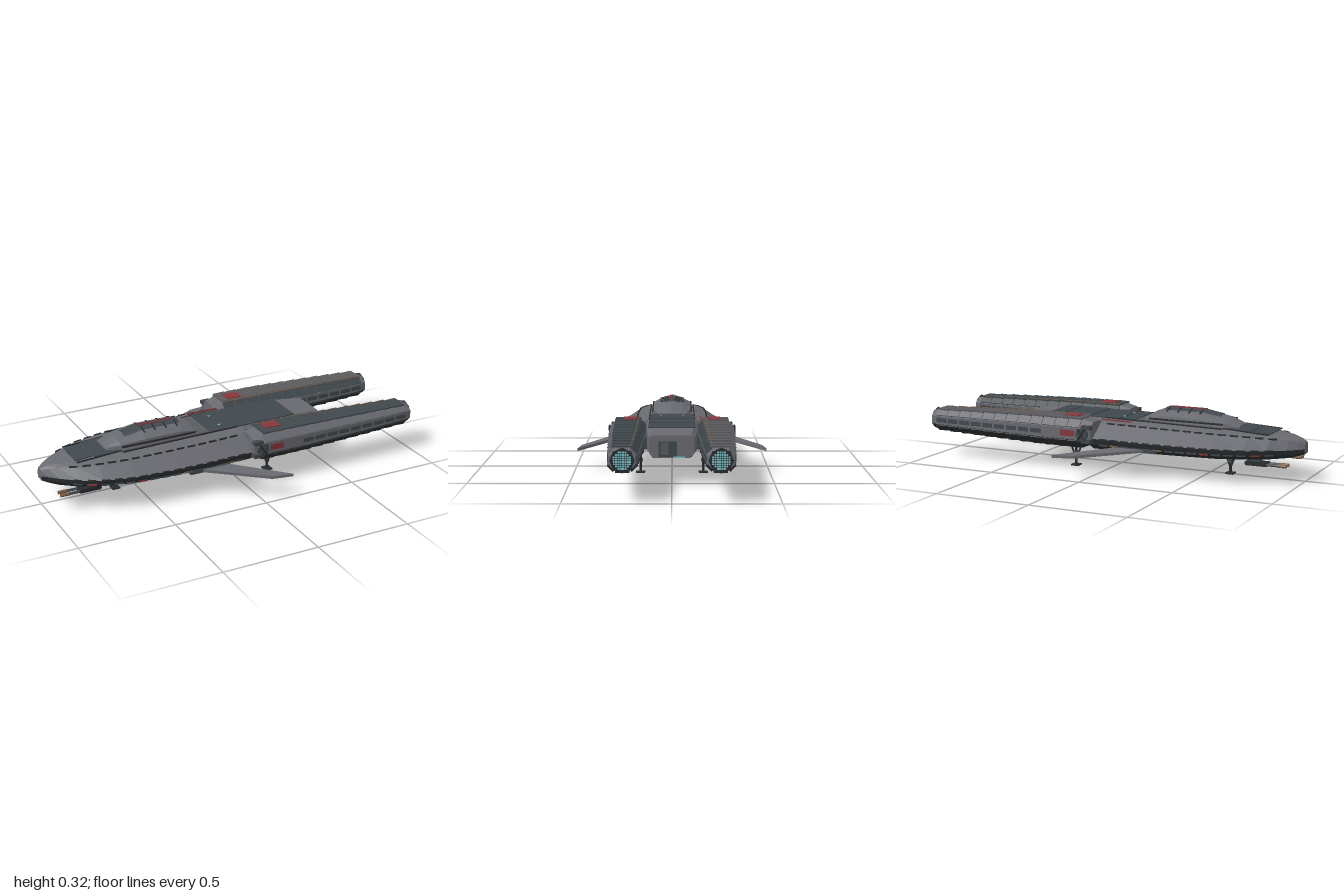
import * as THREE from 'three';

const mat = (name, color, side = THREE.FrontSide) => {
  const m = new THREE.MeshStandardMaterial({ color, flatShading: true, side });
  m.name = name;
  return m;
};

export function createModel() {
  const root = new THREE.Group();
  root.name = 'spaceship';
  const grey = mat('hull grey', 0x696a70), mid = mat('plate grey', 0x5a5a5e);
  const dark = mat('dark slate', 0x40484d), black = mat('charcoal', 0x292c2f);
  const red = mat('red', 0x85363a), cyan = mat('engine cyan', 0x7cc4cc), bronze = mat('bronze', 0x7a6048);

  const add = (parent, name, geo, material, x = 0, y = 0, z = 0) => {
    const m = new THREE.Mesh(geo, material);
    m.name = name;
    m.position.set(x, y, z);
    parent.add(m);
    return m;
  };
  const box = (parent, name, material, sx, sy, sz, x, y, z) =>
    add(parent, name, new THREE.BoxGeometry(sx, sy, sz), material, x, y, z);
  const group = (parent, name) => {
    const g = new THREE.Group();
    g.name = name;
    parent.add(g);
    return g;
  };
  // round bar between two points
  const bar = (parent, name, material, a, b, r) => {
    const p = new THREE.Vector3(...a), q = new THREE.Vector3(...b), d = q.clone().sub(p);
    const m = add(parent, name, new THREE.CylinderGeometry(r, r, d.length(), 8), material);
    m.position.copy(p.add(q).multiplyScalar(0.5));
    m.quaternion.setFromUnitVectors(new THREE.Vector3(0, 1, 0), d.normalize());
  };

  // closed loft through rings of points; one material group per side, caps last
  const loft = (rings, sideMat = () => 0) => {
    const n = rings[0].length, tris = [], groups = [];
    for (let j = 0; j < n; j++) {
      const start = tris.length * 3, k = (j + 1) % n;
      for (let i = 0; i < rings.length - 1; i++) {
        const [a, b] = [rings[i], rings[i + 1]];
        tris.push([a[j], b[j], b[k]], [a[j], b[k], a[k]]);
      }
      groups.push([start, tris.length * 3 - start, sideMat(j)]);
    }
    const start = tris.length * 3, a = rings[0], b = rings[rings.length - 1];
    for (let j = 1; j < n - 1; j++) tris.push([a[0], a[j], a[j + 1]], [b[0], b[j + 1], b[j]]);
    groups.push([start, tris.length * 3 - start, 0]);
    const v = (p) => new THREE.Vector3(...p);
    const c = v(a[0]).add(v(b[Math.floor(n / 2)])).multiplyScalar(0.5);
    let volume = 0;
    for (const [p, q, r] of tris) volume += v(p).sub(c).dot(v(q).sub(c).cross(v(r).sub(c)));
    if (volume < 0) tris.forEach((t) => t.reverse());
    const g = new THREE.BufferGeometry();
    g.setAttribute('position', new THREE.Float32BufferAttribute(tris.flat(2), 3));
    groups.forEach((s) => g.addGroup(...s));
    g.computeVertexNormals();
    return g;
  };
  const mirrorRing = (half) => [...half, ...half.slice().reverse().map(([z, y]) => [-z, y])];

  // hull stations: x, half width, bottom, top
  const stations = [[-1, 0.028, 0.14, 0.2], [-0.97, 0.06, 0.132, 0.213], [-0.93, 0.1, 0.126, 0.223], [-0.85, 0.17, 0.123, 0.232],
    [-0.75, 0.225, 0.121, 0.24], [-0.6, 0.266, 0.118, 0.246], [-0.4, 0.28, 0.116, 0.25], [-0.2, 0.281, 0.113, 0.253], [0.06, 0.27, 0.111, 0.255]];
  const hullAt = (x) => {
    let i = 0;
    while (i < stations.length - 2 && stations[i + 1][0] < x) i++;
    const a = stations[i], b = stations[i + 1], t = Math.min(1, (x - a[0]) / (b[0] - a[0]));
    return a.map((q, k) => q + (b[k] - q) * t);
  };
  const hullPoint = (x, fz, fy) => {
    const [, w, lo, hi] = hullAt(x);
    return [x, lo + (hi - lo) * fy, w * fz];
  };
  const hullRing = mirrorRing([[0.4, 1], [0.66, 0.88], [1, 0.42], [0.97, 0.2], [0.8, 0]]);
  add(root, 'hull', loft(stations.map((s) => hullRing.map(([z, y]) => hullPoint(s[0], z, y))),
    (j) => (j >= 2 && j <= 6 ? 1 : 0)), [grey, black]);

  // rear body between the engines
  const rearRing = mirrorRing([[0.85, 1], [1, 0.88], [1, 0.25], [0.8, 0]]);
  const rear = [[0, 0.135, 0.112, 0.256], [0.38, 0.125, 0.115, 0.254], [0.53, 0.11, 0.13, 0.242]];
  add(root, 'rearBody', loft(rear.map(([x, w, lo, hi]) => rearRing.map(([z, y]) => [x, lo + (hi - lo) * y, w * z])),
    (j) => (j >= 2 && j <= 4 ? 1 : 0)), [grey, black]);
  box(root, 'rearDoor', dark, 0.006, 0.075, 0.09, 0.532, 0.175, 0.02);
  box(root, 'rearDoorPanel', mid, 0.008, 0.06, 0.04, 0.533, 0.178, 0.035);
  box(root, 'rearLight', cyan, 0.008, 0.005, 0.055, 0.533, 0.136, -0.035);
  box(root, 'belly', black, 0.9, 0.01, 0.2, -0.1, 0.111, 0);

  // deck plating follows the hull top
  const deckPlate = (name, material, x0, x1, z, width, lift = 0.002) => {
    const y0 = hullAt(x0)[3], y1 = hullAt(x1)[3];
    const m = box(root, name, material, x1 - x0, 0.006, width, (x0 + x1) / 2, (y0 + y1) / 2 + lift, z);
    m.rotation.z = Math.atan2(y1 - y0, x1 - x0);
  };
  deckPlate('noseDeck', dark, -0.84, -0.75, 0, 0.16);
  deckPlate('noseDeck', dark, -0.745, -0.61, 0, 0.19);
  deckPlate('midDeck', mid, -0.6, -0.13, 0, 0.22);
  for (let i = 0; i < 6; i++) deckPlate('rearDeck', dark, -0.12 + i * 0.083, -0.043 + i * 0.083, 0, 0.235, 0.001 + (i % 2) * 0.002);
  for (const s of [1, -1]) {
    deckPlate('deckRail', black, -0.84, -0.6, s * 0.1, 0.006);
    deckPlate('deckRail', black, -0.6, 0.04, s * 0.118, 0.006);
    box(root, 'deckLight', cyan, 0.012, 0.004, 0.008, -0.04, 0.26, s * 0.06);
  }
  deckPlate('redDeckLine', red, -0.12, 0.05, -0.15, 0.007, -0.003);

  // vent dashes and edge trim along both hull sides
  for (const s of [1, -1]) {
    const rows = [['upperVent', black, 0.66, 0.88, 15, 0.042], ['edgeVent', black, 1, 0.42, 15, 0.04], ['lowerTrim', dark, 0.97, 0.21, 15, 0.046]];
    for (const [name, material, fz, fy, count, len] of rows) {
      for (let i = 0; i < count; i++) {
        const x = -0.86 + i * 0.06, a = new THREE.Vector3(...hullPoint(x - len / 2, fz, fy)), b = new THREE.Vector3(...hullPoint(x + len / 2, fz, fy));
        const paint = name === 'lowerTrim' && i % 4 === 1 ? (i > 6 ? bronze : red) : material;
        const m = box(root, name, paint, len, 0.008, 0.008, x, (a.y + b.y) / 2, s * (a.z + b.z) / 2);
        m.rotation.y = -s * Math.atan2(b.z - a.z, len);
      }
    }
  }

  // cockpit superstructure with dark canopy and red stripes
  const cockpitRing = mirrorRing([[0.05, 1], [0.6, 0.78], [0.95, 0.5], [1, 0]]);
  const cabin = (rows, base) => loft(rows.map(([x, w, h]) => cockpitRing.map(([z, y]) => [x, base + h * y, w * z])));
  add(root, 'cockpit', cabin([[-0.67, 0.06, 0.012], [-0.6, 0.09, 0.045], [-0.47, 0.105, 0.072], [-0.27, 0.105, 0.072], [-0.2, 0.098, 0.045], [-0.15, 0.07, 0.014]], 0.248), [grey]);
  add(root, 'canopy', cabin([[-0.56, 0.048, 0.036], [-0.47, 0.066, 0.051], [-0.27, 0.066, 0.051], [-0.255, 0.06, 0.045]], 0.272), [dark]);
  for (const s of [1, -1]) {
    box(root, 'canopyStripe', red, 0.19, 0.004, 0.005, -0.38, 0.322, s * 0.009);
    box(root, 'cockpitSill', black, 0.4, 0.008, 0.008, -0.4, 0.268, s * 0.104);
    for (let i = 0; i < 4; i++) box(root, 'cockpitFrame', black, 0.007, 0.006, 0.05, -0.46 + i * 0.06, 0.311, s * 0.04).rotation.x = s * 0.28;
  }

  // swept wings
  const planform = [[-0.32, 0.23], [0.05, 0.468], [0.16, 0.485], [-0.13, 0.25]];
  for (const s of [1, -1]) {
    const wing = [0.007, -0.007].map((t) => planform.map(([x, z]) => [x, 0.138 - (z - 0.25) * 0.11 + t, s * z]));
    add(root, s > 0 ? 'leftWing' : 'rightWing', loft(wing), [grey]);
    box(root, 'wingRoot', dark, 0.22, 0.018, 0.03, -0.2, 0.135, s * 0.265);
  }

  // engine nacelles
  const octagon = [[1, 0.42], [0.55, 1], [-0.55, 1], [-1, 0.42], [-1, -0.42], [-0.55, -1], [0.55, -1], [1, -0.42]];
  const nacelle = [[0.04, 0.072, 0.058], [0.1, 0.088, 0.072], [0.35, 0.087, 0.07], [0.7, 0.076, 0.061], [0.97, 0.064, 0.052], [1, 0.058, 0.047]];
  const nacelleAt = (x) => {
    const i = Math.max(0, nacelle.findIndex((n) => n[0] >= x) - 1), a = nacelle[i], b = nacelle[i + 1];
    return a.map((q, k) => q + (b[k] - q) * (x - a[0]) / (b[0] - a[0]));
  };
  for (const s of [1, -1]) {
    const g = group(root, s > 0 ? 'leftEngine' : 'rightEngine');
    g.position.set(0, 0.197, s * 0.222);
    const top = s > 0 ? dark : mid;
    add(g, 'nacelle', loft(nacelle.map(([x, w, h]) => octagon.map(([z, y]) => [x, y * h, z * w])),
      (j) => (j >= 4 && j <= 6 ? 1 : 0)), [grey, black]);
    // overlapping armour slats around the shell
    for (let i = 0; i < 12; i++) {
      const x = 0.13 + i * 0.073, [, w, h] = nacelleAt(x);
      octagon.forEach(([az, ay], k) => {
        if (k === 3 || k === 7) return;
        const [bz, by] = octagon[(k + 1) % 8], dz = (bz - az) * w, dy = (by - ay) * h, len = Math.hypot(dz, dy);
        const slot = group(g, 'slatMount');
        slot.position.set(x, (ay + by) * h / 2, (az + bz) * w / 2);
        slot.rotation.x = Math.atan2(-dy, dz) + Math.PI;
        if (Math.cos(slot.rotation.x) * slot.position.y + Math.sin(slot.rotation.x) * slot.position.z < 0) slot.rotation.x += Math.PI;
        const outer = (s > 0) === (k === 0) && (k === 0 || k === 2);
        const paint = k === 1 ? top : k > 3 ? black : outer ? grey : dark;
        box(slot, 'slat', paint, 0.067, 0.007, len * (k === 1 ? 1.35 : 0.9), 0, 0.003, 0).rotation.z = 0.03;
      });
      // side slots
      if (i > 2) for (const t of [1, -1]) box(g, 'sideSlot', dark, 0.06, 0.022, 0.006, x, 0, t * w);
      box(g, 'bronzeLine', bronze, 0.06, 0.004, 0.004, x, h + 0.008, -s * 0.052 * w / 0.088);
    }
    box(g, 'redTopMark', red, 0.085, 0.004, 0.065, 0.175, 0.081, -s * 0.008);
    box(g, 'redSideMark', red, 0.075, 0.03, 0.008, 0.165, 0.002, s * 0.087);
    const hub = add(g, 'pivotHub', new THREE.CylinderGeometry(0.032, 0.032, 0.018, 12), dark, 0.08, 0, s * 0.09);
    hub.rotation.x = Math.PI / 2;
    for (const a of [1, -1]) {
      bar(g, 'pivotStrut', black, [0.06, -0.03 * a, s * 0.1], [0.1, 0.03 * a, s * 0.1], 0.005);
      box(g, 'frontClamp', dark, 0.05, 0.02, 0.03, 0.06, 0.035 * a, s * 0.075);
    }
    box(g, 'pylon', dark, 0.32, 0.06, 0.06, 0.24, -0.015, -s * 0.1);
    // exhaust rim and glowing grid
    const rim = add(g, 'exhaustRim', new THREE.TorusGeometry(0.053, 0.006, 6, 8), black, 0.996, 0, 0);
    rim.rotation.set(0, Math.PI / 2, 0);
    const face = add(g, 'exhaustFace', new THREE.CylinderGeometry(0.05, 0.05, 0.004, 16), black, 1 - 0.001, 0, 0);
    face.rotation.z = Math.PI / 2;
    for (let a = -4; a < 4; a++) for (let b = -4; b < 4; b++) {
      const y = (a + 0.5) * 0.0105, z = (b + 0.5) * 0.0105;
      if (Math.hypot(y, z) < 0.043) box(g, 'exhaustCell', cyan, 0.004, 0.0085, 0.0085, 1, y, z);
    }
  }

  // landing legs
  for (const [x, z] of [[-0.605, 0], [0.19, 0.16], [0.19, -0.16]]) {
    const g = group(root, 'landingLeg');
    g.position.set(x, 0, z);
    box(g, 'foot', black, 0.042, 0.007, 0.046, 0, 0.0035, 0);
    bar(g, 'post', black, [0, 0.005, 0], [0, 0.125, 0], 0.007);
    for (const s of [1, -1]) bar(g, 'strut', black, [0, 0.03, 0], [s * 0.032, 0.115, 0], 0.005);
    box(g, 'collar', dark, 0.02, 0.016, 0.024, 0, 0.066, 0);
    box(g, 'mount', black, 0.08, 0.012, 0.035, 0, 0.112, 0);
  }

  // chin guns
  for (const s of [1, -1]) {
    const g = group(root, 'chinGun');
    g.position.set(0, 0.095, s * 0.118);
    box(g, 'gunBody', black, 0.11, 0.02, 0.05, -0.79, 0, 0);
    box(g, 'gunMount', dark, 0.06, 0.035, 0.025, -0.78, 0.02, 0);
    for (const t of [1, -1]) {
      bar(g, 'barrel', dark, [-0.94, 0, t * 0.018], [-0.73, 0, t * 0.018], 0.007);
      bar(g, 'muzzle', bronze, [-0.945, 0, t * 0.018], [-0.9, 0, t * 0.018], 0.009);
    }
  }
  return root;
}
